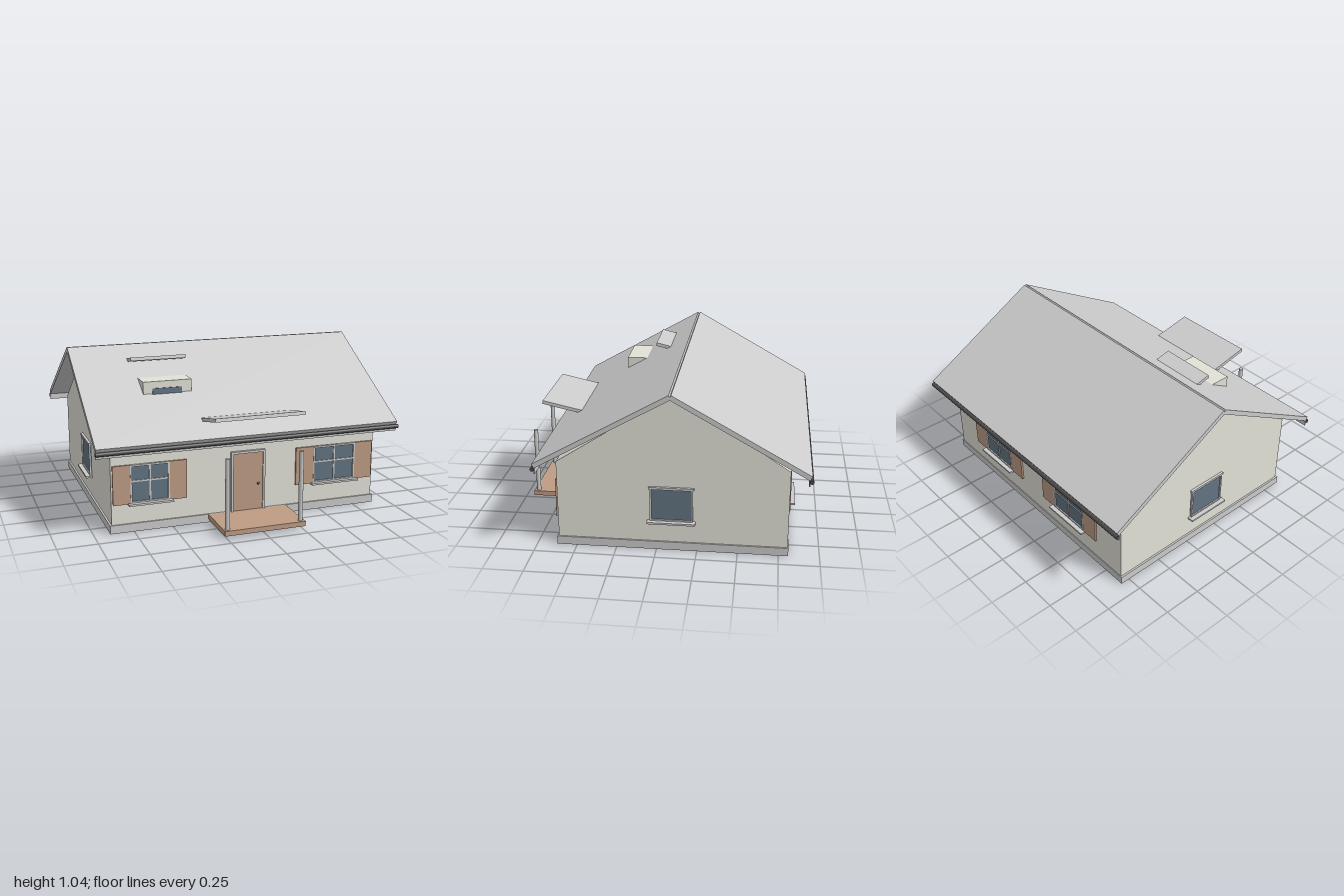
import * as THREE from 'three';

const mat = (color) => new THREE.MeshStandardMaterial({ color });
const GREY = mat(0xcccccc), WALL = mat(0xe3e2d8), WOOD = mat(0xbf9c85);
const GLASS = mat(0x627482), DARK = mat(0x4a4a4a);
const MID = -0.095; // z of the ridge line

export function createModel() {
  const house = new THREE.Group();
  house.name = 'house';

  // Box given by its min and max corners
  function box(name, m, [x0, y0, z0], [x1, y1, z1], parent = house) {
    const mesh = new THREE.Mesh(new THREE.BoxGeometry(x1 - x0, y1 - y0, z1 - z0), m);
    mesh.position.set((x0 + x1) / 2, (y0 + y1) / 2, (z0 + z1) / 2);
    mesh.name = name;
    parent.add(mesh);
    return mesh;
  }

  // Profile of [z, y] points extruded along x
  function extrudeX(name, m, pts, x0, x1) {
    const shape = new THREE.Shape(pts.map(([z, y]) => new THREE.Vector2(-z, y)));
    const geo = new THREE.ExtrudeGeometry(shape, { depth: x1 - x0, bevelEnabled: false });
    geo.rotateY(Math.PI / 2).translate(x0, 0, 0);
    const mesh = new THREE.Mesh(geo, m);
    mesh.name = name;
    house.add(mesh);
    return mesh;
  }

  function cylinder(name, m, r, h, x, y, z, sides = 20) {
    const mesh = new THREE.Mesh(new THREE.CylinderGeometry(r, r, h, sides), m);
    mesh.position.set(x, y, z);
    mesh.name = name;
    house.add(mesh);
    return mesh;
  }

  // Foundation and gabled walls
  box('foundation', GREY, [-0.9, 0, -0.81], [0.895, 0.053, 0.625]);
  extrudeX('walls', WALL, [
    [0.615, 0.04], [0.615, 0.555], [MID, 1.015], [-0.805, 0.555], [-0.805, 0.04],
  ], -0.888, 0.885);

  // Roof slopes, gutters and fascias, mirrored about the ridge
  const slope = Math.atan(0.563), t = 0.03;
  const dz = t * Math.sin(slope), dy = t * Math.cos(slope);
  for (const s of [1, -1]) {
    const side = s > 0 ? 'front' : 'back';
    const profile = [[0.007, 1.044], [0.832, 0.579], [0.832 - dz, 0.579 - dy], [0.007 - dz, 1.044 - dy]];
    extrudeX(side + 'RoofSlope', GREY, profile.map(([z, y]) => [MID + s * z, y]), -0.997, 0.993);
    cylinder(side + 'Gutter', DARK, 0.013, 2, 0, 0.546, MID + s * 0.828).rotation.z = Math.PI / 2;
    const z = MID + s * 0.816;
    box(side + 'Fascia', GREY, [-0.997, 0.516, z - 0.003], [0.993, 0.555, z + 0.003]);
  }

  // Dormer with its tilted cover slab
  box('dormer', WALL, [-0.605, 0.68, 0.1], [-0.287, 0.874, 0.352]);
  box('dormerWindow', GLASS, [-0.545, 0.72, 0.34], [-0.352, 0.83, 0.358]);
  const slab = (name, x0, x1, zFront, yFront, zBack, rise) => extrudeX(name, GREY, [
    [zFront, yFront], [zBack, yFront - (zFront - zBack) * rise],
    [zBack + 0.005, yFront - (zFront - zBack) * rise - 0.022], [zFront + 0.005, yFront - 0.022],
  ], x0, x1);
  slab('dormerCover', -0.632, -0.262, 0.142, 0.995, -0.04, 0.24);
  slab('porchCanopy', -0.295, 0.29, 0.836, 0.73, 0.36, 0.22);

  // Porch deck and posts
  box('porchDeck', WOOD, [-0.267, 0.021, 0.6], [0.263, 0.053, 0.937]);
  for (const x of [-0.242, 0.238]) cylinder('porchPost', GREY, 0.0145, 0.45, x, 0.275, 0.908);

  // Door with frame and knob
  box('door', WOOD, [-0.102, 0.053, 0.6], [0.098, 0.432, 0.626]);
  for (const x of [-0.117, 0.098]) box('doorJamb', GREY, [x, 0.053, 0.6], [x + 0.015, 0.447, 0.634]);
  box('doorHead', GREY, [-0.102, 0.432, 0.6], [0.098, 0.447, 0.634]);
  const knob = new THREE.Mesh(new THREE.SphereGeometry(0.009, 16, 10), DARK);
  knob.position.set(0.066, 0.225, 0.633);
  knob.name = 'doorKnob';
  house.add(knob);

  // Window facing local +z; origin on the wall at sill height
  function makeWindow(name, w, h, { shutter = 0, mullions = false }) {
    const g = new THREE.Group();
    g.name = name;
    const f = 0.011;
    box('glass', GLASS, [-w, 0, -0.01], [w, h, 0.006], g);
    for (const s of [-1, 1]) {
      const x = s * (w - f / 2);
      box('frameSide', GREY, [x - f / 2, 0, -0.01], [x + f / 2, h, 0.014], g);
      if (shutter) {
        const c = s * (w + shutter / 2);
        box('shutter', WOOD, [c - shutter / 2, -0.004, -0.01], [c + shutter / 2, h, 0.012], g);
      }
    }
    box('frameBottom', GREY, [-w, 0, -0.01], [w, f, 0.014], g);
    const head = mullions ? 0 : 0.007;
    box('frameTop', GREY, [-w - head, h - f, -0.01], [w + head, h + head / 2, 0.016], g);
    if (mullions) {
      box('mullion', GREY, [-0.005, 0, 0], [0.005, h, 0.011], g);
      box('transom', GREY, [-w, h * 0.57 - 0.005, 0], [w, h * 0.57 + 0.005, 0.011], g);
    }
    box('sill', GREY, [-w - 0.017, -0.01, -0.01], [w + 0.017, 0.002, 0.042], g);
    house.add(g);
    return g;
  }

  // Front windows
  const fl = makeWindow('frontRightWindow', 0.125, 0.245, { shutter: 0.11, mullions: true });
  fl.position.set(-0.643, 0.185, 0.615);
  const fr = makeWindow('frontLeftWindow', 0.148, 0.245, { shutter: 0.125, mullions: true });
  fr.position.set(0.602, 0.185, 0.615);

  // Back windows
  for (const x of [-0.387, 0.387]) {
    const b = makeWindow('backWindow', 0.148, 0.23, { shutter: 0.122, mullions: true });
    b.position.set(x, 0.19, -0.805);
    b.rotation.y = Math.PI;
  }

  // Gable windows
  for (const s of [-1, 1]) {
    const w = makeWindow('gableWindow', 0.132, 0.222, {});
    w.position.set(s > 0 ? 0.885 : -0.888, 0.195, -0.092);
    w.rotation.y = s * Math.PI / 2;
  }

  return house;
}
